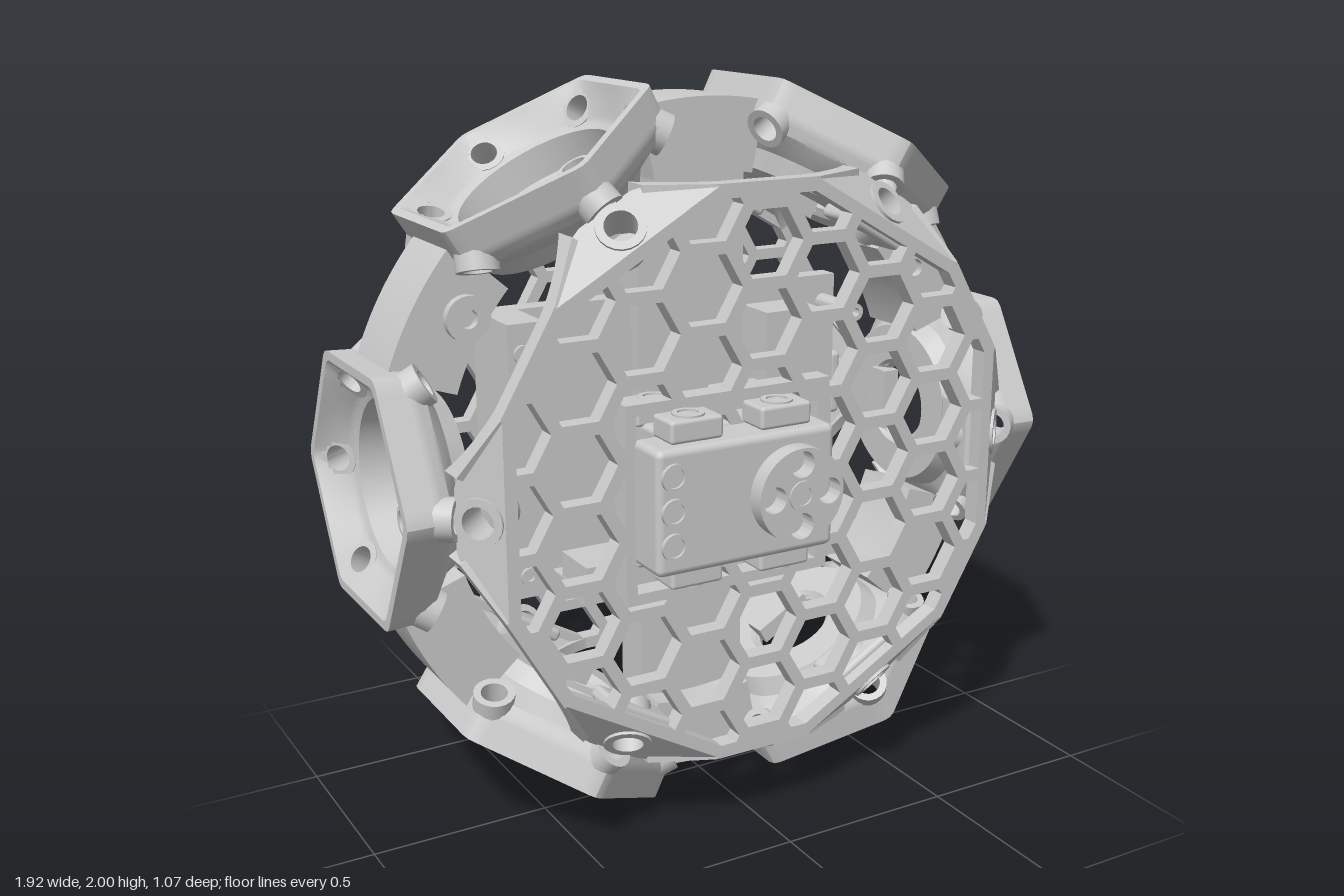
import * as THREE from 'three';
import { toCreasedNormals } from 'three/addons/utils/BufferGeometryUtils.js';
import { RoundedBoxGeometry } from 'three/addons/geometries/RoundedBoxGeometry.js';

const mat = new THREE.MeshStandardMaterial({ color: 0xcccccc, side: THREE.DoubleSide });
const V2 = (x, y) => new THREE.Vector2(x, y);
const V3 = (x, y, z) => new THREE.Vector3(x, y, z);
const SIX = Math.PI / 3;

function add(parent, name, geo, x = 0, y = 0, z = 0) {
  const m = new THREE.Mesh(geo, mat);
  m.name = name;
  m.position.set(x, y, z);
  parent.add(m);
  return m;
}

// Group turned to the k-th of six directions
function sector(parent, name, axis, k) {
  const g = new THREE.Group();
  g.name = name;
  g.rotation[axis] = k * SIX;
  parent.add(g);
  return g;
}

// Box given by its limits
function block(parent, name, x0, x1, y0, y1, z0, z1, r = 0) {
  const s = [x1 - x0, y1 - y0, z1 - z0];
  const geo = r ? new RoundedBoxGeometry(...s, 2, r) : new THREE.BoxGeometry(...s);
  return add(parent, name, geo, (x0 + x1) / 2, (y0 + y1) / 2, (z0 + z1) / 2);
}

const extrude = (shape, depth) => new THREE.ExtrudeGeometry(shape, { depth, bevelEnabled: false, curveSegments: 20 });
const lathe = pts => toCreasedNormals(new THREE.LatheGeometry(pts, 20), 0.6);
// Round boss along +y with a blind hole in its top
const bossGeometry = (R, r, y0, y1, floor) =>
  lathe([V2(0, y0), V2(R, y0), V2(R, y1), V2(r, y1), V2(r, floor), V2(0, floor)]);
// Open tube along y
const tubeGeometry = (R, r, y0, y1) => lathe([V2(r, y0), V2(R, y0), V2(R, y1), V2(r, y1), V2(r, y0)]);

// Screw holes through the socket wall, in the plane of depth and radius
const HOLE_AT = V3(0.91, 0.287, 0), HOLE_DIR = V3(0.8, -0.6, 0);

// Six-sided socket that turns round inside; opens along +x, one corner on +z
function socketGeometry() {
  // depth, radius, roundness
  const profile = [
    [0.76, 0.11, 1], [0.74, 0.13, 1], [0.74, 0.235, 1], [0.79, 0.265, 0.8], [0.835, 0.355, 0.08],
    [0.87, 0.375, 0], [0.962, 0.38, 0], [0.962, 0.352, 0], [0.885, 0.255, 0.75],
    [0.875, 0.225, 1], [0.79, 0.215, 1], [0.78, 0.11, 1], [0.76, 0.11, 1]];
  const rows = [profile[0]];
  profile.slice(1).forEach((q, i) => {
    const p = profile[i], steps = Math.ceil(Math.hypot(q[0] - p[0], q[1] - p[1]) / 0.015);
    for (let s = 1; s <= steps; s++) rows.push(p.map((v, j) => v + (q[j] - v) * s / steps));
  });
  const n = 120, pos = [], idx = [], inHole = [];
  for (const [d, r, round] of rows) {
    for (let i = 0; i <= n; i++) {
      const a = i / n * Math.PI * 2, b = a - Math.round(a / SIX) * SIX;
      const hex = Math.min(r * 0.985, r * Math.cos(SIX / 2) / Math.cos(SIX / 2 - Math.abs(b)));
      const q = hex + (r - hex) * round;
      pos.push(d, q * Math.sin(a), q * Math.cos(a));
      const v = V3(d, q * Math.cos(b), q * Math.sin(b)).sub(HOLE_AT);
      inHole.push(v.cross(HOLE_DIR).length() < 0.036);
    }
  }
  for (let s = 0; s < rows.length - 1; s++) {
    for (let i = 0; i < n; i++) {
      const a = s * (n + 1) + i, b = a + n + 1;
      if ([a, b, a + 1, b + 1].some(v => inHole[v])) continue;
      idx.push(a, b, b + 1, a, b + 1, a + 1);
    }
  }
  const g = new THREE.BufferGeometry();
  g.setAttribute('position', new THREE.Float32BufferAttribute(pos, 3));
  g.setIndex(idx);
  return toCreasedNormals(g, 0.45);
}

// Six-sided outline with cut corners
function hexOutline(apothem, cut) {
  const r = apothem / Math.cos(SIX / 2) - cut / 2, t = cut * Math.sin(SIX), pts = [];
  for (let k = 0; k < 6; k++) {
    for (const s of [-t, t]) pts.push(V2(r, s).rotateAround(V2(0, 0), k * SIX));
  }
  return pts;
}

// Clip a convex polygon to a convex counter-clockwise outline
function clip(poly, outline) {
  outline.forEach((a, i) => {
    const b = outline[(i + 1) % outline.length], out = [];
    const side = p => (b.x - a.x) * (p.y - a.y) - (b.y - a.y) * (p.x - a.x);
    poly.forEach((p, j) => {
      const q = poly[(j + 1) % poly.length], sp = side(p), sq = side(q);
      if (sp >= 0) out.push(p);
      if (sp * sq < 0) out.push(p.clone().lerp(q, sp / (sp - sq)));
    });
    poly = out;
  });
  return poly;
}

// Honeycomb panel
function honeycombGeometry() {
  const shape = new THREE.Shape(hexOutline(0.775, 0.31));
  const inner = hexOutline(0.738, 0.29), row = 0.206, col = row * Math.sin(SIX), R = 0.1;
  for (let c = -5; c <= 5; c++) {
    for (let r = -5; r <= 5; r++) {
      const cx = c * col, cy = (r + (c % 2 ? 0.5 : 0)) * row, cell = [];
      for (let k = 0; k < 6; k++) cell.push(V2(cx + R * Math.cos(k * SIX), cy + R * Math.sin(k * SIX)));
      const hole = clip(cell, inner);
      if (hole.length > 2 && THREE.ShapeUtils.area(hole) > 0.002) shape.holes.push(new THREE.Path(hole.reverse()));
    }
  }
  return extrude(shape, 0.05);
}

// Edge rail, deep at the ends and thin in the middle; runs along x, hangs down y
function railGeometry() {
  const s = new THREE.Shape([V2(-0.15, 0), V2(0.15, 0), V2(0.32, -0.075), V2(0.32, -0.15)]);
  s.quadraticCurveTo(0.2, -0.035, 0, -0.035);
  s.quadraticCurveTo(-0.2, -0.035, -0.32, -0.15);
  s.lineTo(-0.32, -0.075);
  return extrude(s, 0.035);
}

// Sloping corner pad with a screw hole; runs outward along x
function padGeometry() {
  const s = new THREE.Shape([V2(0, -0.268), V2(0.115, -0.125), V2(0.13, -0.08),
    V2(0.13, 0.08), V2(0.115, 0.125), V2(0, 0.268)]);
  s.holes.push(new THREE.Path().absarc(0.068, 0, 0.042, 0, Math.PI * 2, true));
  return extrude(s, 0.04).translate(0, 0, -0.04);
}

export function createModel() {
  const model = new THREE.Group();
  model.name = 'hexapodBody';
  const body = new THREE.Group();
  body.name = 'chassis';
  body.position.set(0, 1, -0.085);
  model.add(body);

  // Leg sockets and ring segments
  const socket = socketGeometry(), screwTube = tubeGeometry(0.056, 0.036, -0.105, 0.006);
  const hornBolt = bossGeometry(0.048, 0.036, -0.03, 0.03, 0.01);
  const arc = new THREE.Shape();
  const h = THREE.MathUtils.degToRad(11.3);
  arc.absarc(0, 0, 0.955, -h, h, false);
  arc.absarc(0, 0, 0.76, h, -h, true);
  const ringSegment = extrude(arc, 0.23);
  for (let k = 0; k < 6; k++) {
    const arm = sector(body, 'legSocket', 'z', k);
    add(arm, 'socketShell', socket);
    for (let i = 0; i < 6; i++) {
      const tube = add(sector(arm, 'socketScrewHole', 'x', i), 'screwTube', screwTube, HOLE_AT.x, 0, HOLE_AT.y);
      tube.quaternion.setFromUnitVectors(V3(0, 1, 0), V3(HOLE_DIR.x, 0, HOLE_DIR.y));
    }
    for (const y of [-0.14, 0.14]) {
      for (const z of [-0.085, 0.085]) add(arm, 'hornBolt', hornBolt, 0.78, y, z).rotation.z = -Math.PI / 2;
    }
    block(arm, 'socketKey', 0.72, 0.77, -0.09, 0.09, -0.1, -0.03);
    add(body, 'ringSegment', ringSegment, 0, 0, -0.115).rotation.z = (k + 0.5) * SIX;
  }
  const eyelet = bossGeometry(0.06, 0.025, 0, 0.03, 0.005);
  for (const x of [-0.69, 0.69]) add(body, 'ringEyelet', eyelet, x, 0.44, 0.11).rotation.x = Math.PI / 2;

  // Front and back honeycomb covers
  const panel = honeycombGeometry(), rail = railGeometry(), pad = padGeometry();
  const padTube = tubeGeometry(0.064, 0.042, -0.11, 0.008);
  for (const side of [1, -1]) {
    const cover = new THREE.Group();
    cover.name = side > 0 ? 'frontCover' : 'backCover';
    if (side < 0) cover.rotation.y = Math.PI;
    body.add(cover);
    add(cover, 'honeycombPanel', panel, 0, 0, 0.395);
    for (let k = 0; k < 6; k++) {
      add(sector(cover, 'coverEdge', 'z', k), 'edgeRail', rail, 0, 0.775, 0.444).rotation.x = Math.PI / 2;
      const corner = sector(cover, 'coverCorner', 'z', k);
      const tilt = new THREE.Group();
      tilt.name = 'cornerMount';
      tilt.position.set(0.74, 0, 0.444);
      tilt.rotation.y = Math.PI / 4;
      corner.add(tilt);
      add(tilt, 'cornerPad', pad);
      add(tilt, 'padTube', padTube, 0.068, 0, 0).rotation.x = Math.PI / 2;
      block(corner, 'cornerBracket', 0.69, 0.73, -0.1, 0.1, 0.28, 0.41, 0.015);
    }
  }

  // Inner spine, board and battery
  block(model, 'spine', -0.165, 0.165, 0.2, 1.8, -0.16, -0.04);
  block(model, 'mainBoard', -0.6, 0.5, 0.68, 1.42, -0.14, -0.08);
  block(model, 'battery', -0.18, 0.18, 0.58, 1.5, -0.45, -0.16, 0.04);
  block(model, 'sideModule', 0.19, 0.36, 0.7, 1.36, -0.4, 0.05);
  block(model, 'sideModule', -0.6, -0.5, 0.68, 1.42, -0.14, 0.08);
  block(model, 'lowerTray', -0.42, 0.42, 0.64, 0.68, -0.42, 0.12);
  for (const x of [-0.56, 0.46]) {
    for (const y of [0.74, 1.34]) add(model, 'boardStandoff', bossGeometry(0.025, 0.012, 0, 0.18, 0.14), x, y, -0.09).rotation.x = Math.PI / 2;
  }
  for (const x of [-0.34, -0.09, 0.16]) block(model, 'pinHeader', x - 0.11, x + 0.11, 0.71, 0.78, 0.05, 0.2);

  // Front servo with brackets and horn
  const servo = new THREE.Group();
  servo.name = 'frontServo';
  model.add(servo);
  block(servo, 'servoBody', -0.32, 0.12, 0.83, 1.17, 0.12, 0.36, 0.015);
  block(servo, 'servoCase', -0.39, 0.13, 0.83, 1.16, 0.34, 0.48, 0.02);
  for (const y of [0.735, 1.235]) block(servo, 'servoFrame', -0.4, 0.19, y - 0.015, y + 0.015, 0.3, 0.36);
  for (const x of [-0.4, 0.17]) block(servo, 'servoFrame', x - 0.015, x + 0.015, 0.72, 1.25, 0.3, 0.36);
  for (const s of [-1, 1]) {
    for (const [x, z] of [[-0.26, 0.22], [-0.26, 0.4], [0, 0.22], [0, 0.4]]) {
      block(servo, 'servoLug', x - 0.075, x + 0.075, 1 + s * 0.19 - 0.03, 1 + s * 0.19 + 0.03, z - 0.05, z + 0.05, 0.01);
      add(servo, 'lugBolt', bossGeometry(0.042, 0.028, 0, 0.01, 0.002), x, 1 + s * 0.215, z).rotation.x = s < 0 ? Math.PI : 0;
    }
  }
  const hornFace = new THREE.Shape().absarc(0, 0, 0.125, 0, Math.PI * 2);
  for (const [x, y] of [[1, 0], [0, 1], [-1, 0], [0, -1]]) {
    hornFace.holes.push(new THREE.Path().absarc(0.082 * x, 0.082 * y, 0.035, 0, Math.PI * 2, true));
  }
  add(servo, 'servoHorn', toCreasedNormals(extrude(hornFace, 0.05), 0.6), 0, 1, 0.478);
  add(servo, 'hornHub', bossGeometry(0.04, 0.025, 0, 0.012, 0.003), 0, 1, 0.522).rotation.x = Math.PI / 2;
  for (const y of [0.91, 1, 1.09]) add(servo, 'caseScrew', bossGeometry(0.036, 0.026, 0, 0.012, 0.004), -0.345, y, 0.478).rotation.x = Math.PI / 2;
  return model;
}
